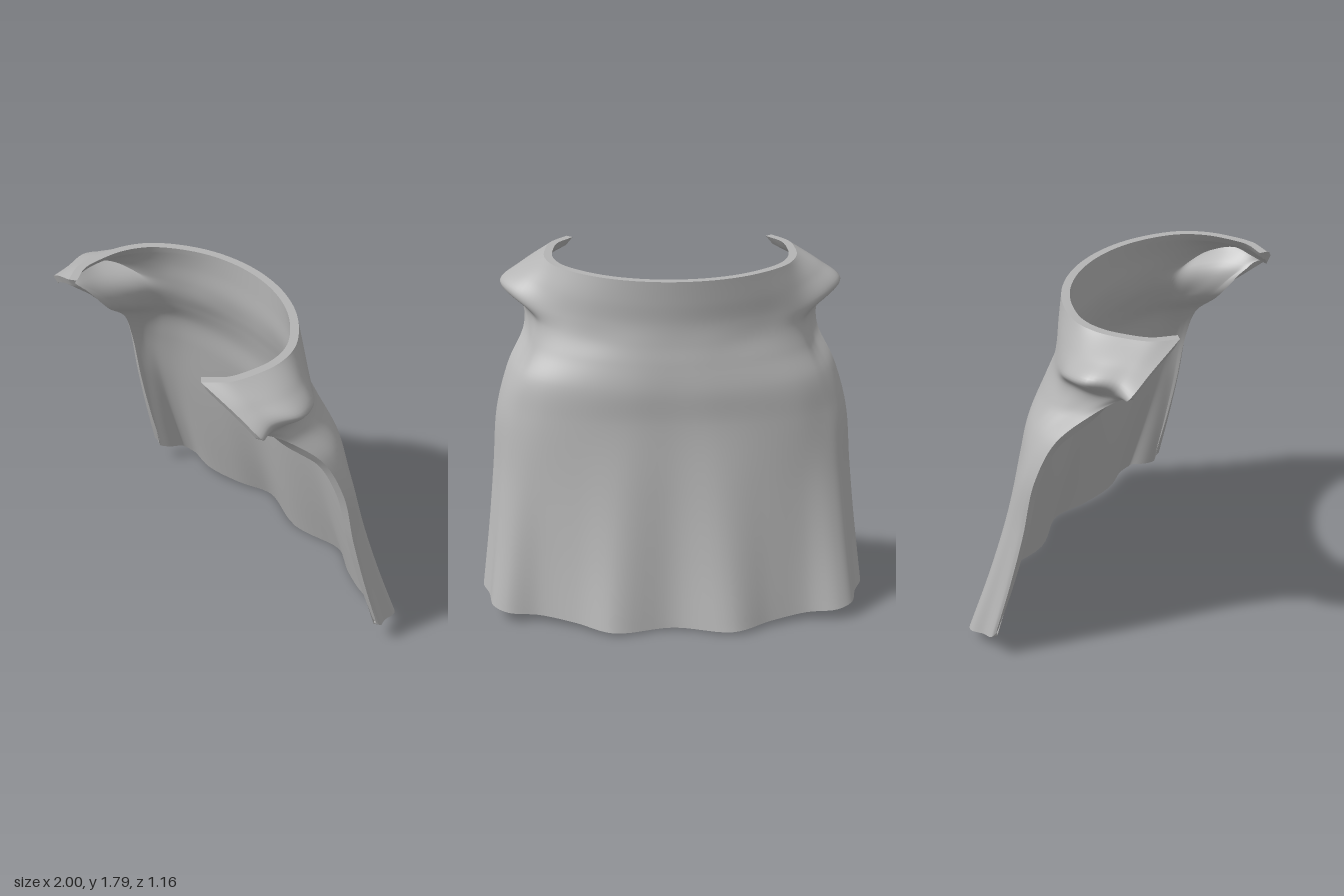
import * as THREE from 'three';

const THICK = 0.042;
const NU = 96, NV = 72;

// Half a cross-section, from the back centre to the left front edge.
// Height climbs from backY to edgeY, plus an optional fold at the shoulder.
function section(backY, edgeY, fold, backZ, xz) {
  const points = [new THREE.Vector3(0, backY, backZ)];
  xz.forEach(([x, z], k) => {
    const c = k + 1;
    const climb = (edgeY - backY) * (c / xz.length) ** 1.5;
    const lift = c > 4 ? fold * Math.sin(Math.PI * (c - 4) / 4) : 0;
    points.push(new THREE.Vector3(x, backY + climb + lift, z));
  });
  return points;
}

// Section between two others, with its own fraction for each axis
function blend(a, b, tx, ty, tz) {
  return a.map((p, k) => new THREE.Vector3(
    THREE.MathUtils.lerp(p.x, b[k].x, tx),
    THREE.MathUtils.lerp(p.y, b[k].y, ty),
    THREE.MathUtils.lerp(p.z, b[k].z, tz)));
}

// Sections from collar to hem
function clothSections() {
  const collar = section(1.79, 1.79, 0, -.22, [[.18, -.2], [.35, -.14], [.5, -.04], [.6, .07], [.65, .2], [.655, .33], [.63, .47], [.55, .58]]);
  const shoulder = section(1.56, 1.6, .06, -.22, [[.2, -.2], [.4, -.14], [.56, -.06], [.68, .02], [.82, .13], [.89, .26], [.85, .4], [.87, .47]]);
  const crease = section(1.46, 1.55, 0, -.235, [[.2, -.22], [.4, -.16], [.57, -.08], [.66, 0], [.71, .1], [.76, .22], [.79, .33], [.8, .4]]);
  const neck = section(1.36, 1.42, 0, -.26, [[.2, -.25], [.42, -.2], [.6, -.12], [.69, -.04], [.72, .04], [.74, .12], [.76, .19], [.77, .24]]);
  const back = section(1.05, 1.05, 0, -.3, [[.23, -.3], [.47, -.27], [.66, -.22], [.78, -.16], [.84, -.12], [.88, -.08], [.9, -.04], [.91, -.01]]);
  const hem = section(.01, .15, 0, -.52, [[.31, -.585], [.51, -.49], [.7, -.43], [.86, -.435], [.94, -.39], [.965, -.3], [1, -.235], [.995, -.21]]);
  return [
    collar, blend(collar, shoulder, .6, .5, .5), shoulder, crease, neck,
    blend(neck, back, .57, .42, .65), back,
    blend(back, hem, .3, .335, .28), blend(back, hem, .63, .67, .62), hem,
  ];
}

function buildGeometry(points, index) {
  const g = new THREE.BufferGeometry().setFromPoints(points);
  g.setIndex(index);
  g.computeVertexNormals();
  return g;
}

// Smooth grid of points through the mirrored sections
function clothPoints() {
  const across = clothSections().map(left => {
    const right = left.slice(1).reverse().map(p => new THREE.Vector3(-p.x, p.y, p.z));
    return new THREE.CatmullRomCurve3([...right, ...left]).getPoints(NU);
  });
  const columns = across[0].map((_, i) =>
    new THREE.CatmullRomCurve3(across.map(r => r[i])).getPoints(NV));
  const points = [];
  for (let j = 0; j <= NV; j++) for (let i = 0; i <= NU; i++) points.push(columns[i][j]);
  return points;
}

function gridIndex(flip) {
  const index = [];
  for (let j = 0; j < NV; j++) for (let i = 0; i < NU; i++) {
    const a = j * (NU + 1) + i, b = a + 1, c = a + NU + 1, d = c + 1;
    if (flip) index.push(a, c, b, b, c, d);
    else index.push(a, b, c, b, d, c);
  }
  return index;
}

// Strip joining the outer and inner cloth along one border
function borderStrip(outer, inner, ids) {
  const points = [], index = [];
  ids.forEach((id, k) => {
    points.push(outer[id], inner[id]);
    if (k < ids.length - 1) {
      const o = k * 2;
      index.push(o, o + 1, o + 2, o + 2, o + 1, o + 3);
    }
  });
  return buildGeometry(points, index);
}

export function createModel() {
  const group = new THREE.Group();
  group.name = 'cape';
  const cloth = new THREE.MeshStandardMaterial({ color: 0xb4b4b4 });
  cloth.name = 'grey cloth';
  const add = (name, geometry) => {
    const mesh = new THREE.Mesh(geometry, cloth);
    mesh.name = name;
    group.add(mesh);
  };

  // Outer and inner faces of the cloth
  const outer = clothPoints();
  const outerGeometry = buildGeometry(outer, gridIndex(false));
  const normals = outerGeometry.attributes.normal;
  const inner = outer.map((p, k) => {
    const n = new THREE.Vector3().fromBufferAttribute(normals, k);
    if (k <= NU) n.setY(0).normalize(); // keep the collar rim level
    return p.clone().addScaledVector(n, -THICK);
  });
  add('outerCloth', outerGeometry);
  add('innerCloth', buildGeometry(inner, gridIndex(true)));

  // Borders, walked in one direction around the cloth
  const rowIds = j => Array.from({ length: NU + 1 }, (_, i) => j * (NU + 1) + i);
  const columnIds = i => Array.from({ length: NV + 1 }, (_, j) => j * (NU + 1) + i);
  add('collarRim', borderStrip(outer, inner, rowIds(0)));
  add('leftEdge', borderStrip(outer, inner, columnIds(NU)));
  add('hem', borderStrip(outer, inner, rowIds(NV).reverse()));
  add('rightEdge', borderStrip(outer, inner, columnIds(0).reverse()));
  return group;
}
